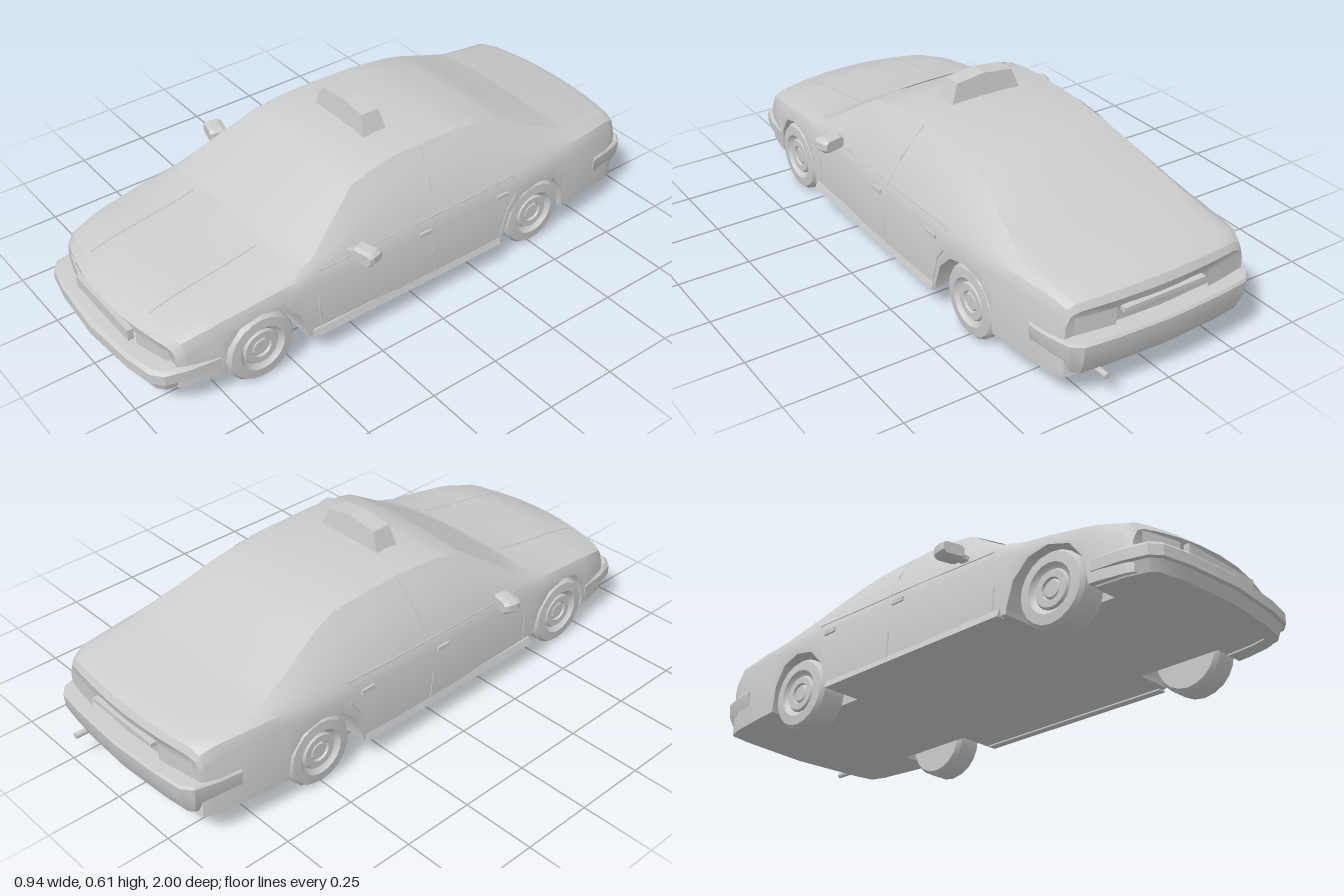
import * as THREE from 'three';
import { toCreasedNormals } from 'three/addons/utils/BufferGeometryUtils.js';

const grey = new THREE.MeshStandardMaterial({ color: 0xcccccc, side: THREE.DoubleSide });

// Body stations: z, half width, shoulder y, roof edge x, roof edge y, centre y
const STATIONS = [
  [0.95, 0.335, 0.222, 0.3, 0.232, 0.245], [0.92, 0.345, 0.25, 0.305, 0.26, 0.27],
  [0.8, 0.362, 0.272, 0.305, 0.285, 0.298], [0.6, 0.378, 0.3, 0.32, 0.31, 0.328],
  [0.47, 0.384, 0.315, 0.35, 0.332, 0.352], [0.41, 0.386, 0.318, 0.347, 0.35, 0.386],
  [0.2, 0.39, 0.322, 0.268, 0.49, 0.506], [0.1, 0.393, 0.324, 0.26, 0.51, 0.527],
  [0, 0.393, 0.325, 0.255, 0.518, 0.535], [-0.2, 0.393, 0.327, 0.252, 0.515, 0.53],
  [-0.34, 0.392, 0.33, 0.25, 0.5, 0.513], [-0.43, 0.39, 0.333, 0.262, 0.472, 0.49],
  [-0.55, 0.385, 0.335, 0.29, 0.418, 0.434], [-0.7, 0.372, 0.335, 0.32, 0.357, 0.368],
  [-0.9, 0.35, 0.33, 0.305, 0.342, 0.352], [-0.945, 0.335, 0.31, 0.29, 0.322, 0.33],
  [-0.957, 0.33, 0.29, 0.285, 0.3, 0.305],
];
const FLOOR = 0.09;
const WHEELS = [[0.615, 1], [-0.505, -1]]; // z, direction of the longer arch side
const ARCH = [[-0.16, 0.09], [-0.158, 0.11], [-0.13, 0.19], [-0.075, 0.245], [0, 0.262],
  [0.075, 0.24], [0.12, 0.18], [0.132, 0.11], [0.134, 0.09]];

// Piecewise linear lookup in rows whose first column falls or rises
function lookup(rows, t) {
  for (let i = 0; i < rows.length - 1; i++) {
    const a = rows[i], b = rows[i + 1], f = (t - a[0]) / (b[0] - a[0]);
    if (f >= 0 && f <= 1) return a.map((v, k) => v + (b[k] - v) * f);
  }
  return null;
}
function archY(z) {
  for (const [c, s] of WHEELS) {
    const hit = lookup(ARCH, (z - c) * s);
    if (hit) return hit[1];
  }
  return FLOOR;
}
// Half width of the body side at a given height
function sideX(z, y) {
  const [, w, ys, xr, yr] = lookup(STATIONS, z);
  if (y <= ys - 0.035) return w;
  if (y <= ys) return w - 0.015 * (y - ys + 0.035) / 0.035;
  const t = Math.min(1, (y - ys) / (yr - ys));
  return w - 0.015 + (xr - w + 0.015) * t + 0.25 * (yr - ys) * t * (1 - t);
}
function topY(z, x) {
  const [, , , xr, yr, yc] = lookup(STATIONS, z);
  return yc - (yc - yr) * Math.pow(Math.abs(x) / xr, 2.5);
}
// Rounds the nose and tail in plan
function bow(x, z) {
  const k = z > 0 ? 0.55 * Math.max(0, (z - 0.76) / 0.19) : -0.3 * Math.max(0, (-z - 0.72) / 0.23);
  return z - k * x * x;
}

// Skin over a row of closed rings, capped at both ends
function loft(rings, crease) {
  const n = rings[0].length, pos = rings.flat(2), idx = [];
  for (let i = 0; i < rings.length - 1; i++) for (let j = 0; j < n; j++) {
    const a = i * n + j, b = i * n + (j + 1) % n;
    idx.push(a, a + n, b, b, a + n, b + n);
  }
  [0, rings.length - 1].forEach((r, end) => {
    const c = pos.length / 3;
    for (let k = 0; k < 3; k++) pos.push(rings[r].reduce((s, p) => s + p[k], 0) / n);
    for (let j = 0; j < n; j++) {
      const a = r * n + j, b = r * n + (j + 1) % n;
      idx.push(c, end ? b : a, end ? a : b);
    }
  });
  const g = new THREE.BufferGeometry();
  g.setAttribute('position', new THREE.Float32BufferAttribute(pos, 3));
  g.setIndex(idx);
  return toCreasedNormals(g, crease);
}
// Thin panel from a rule (u, v in 0..1)
function patch(rule, nu, nv) {
  const g = new THREE.PlaneGeometry(1, 1, nu, nv), p = g.attributes.position;
  for (let i = 0; i < p.count; i++) p.setXYZ(i, ...rule(p.getX(i) + 0.5, p.getY(i) + 0.5));
  g.computeVertexNormals();
  return g;
}

function bodyGeometry() {
  const zs = STATIONS.map(s => s[0]);
  for (const [c, s] of WHEELS) ARCH.forEach(a => zs.push(c + s * a[0]));
  zs.sort((a, b) => b - a);
  return loft(zs.map(z => {
    const [, w, ys, xr, yr] = lookup(STATIONS, z), yb = archY(z);
    const half = [[0.25, FLOOR], [0.25, yb], [w, yb], [w, Math.max(yb, ys - 0.035)]];
    for (const t of [0, 0.33, 0.67, 1]) {
      const y = ys + (yr - ys) * t;
      half.push([sideX(z, y), y]);
    }
    for (const f of [0.85, 0.6, 0.3]) half.push([xr * f, topY(z, xr * f)]);
    const ring = [[0, FLOOR], ...half, [0, topY(z, 0)], ...half.map(([x, y]) => [-x, y]).reverse()];
    return ring.map(([x, y]) => [x, y, bow(x, z)]);
  }), 0.5);
}

// Bumper: a section swept around a mirrored plan path
function bumperGeometry(halfPath, section) {
  const path = [...halfPath, ...halfPath.slice(0, -1).map(([x, z]) => [-x, z]).reverse()];
  return loft(path.map(([x, z], i) => {
    const a = path[Math.max(0, i - 1)], b = path[Math.min(path.length - 1, i + 1)];
    const tx = b[0] - a[0], tz = b[1] - a[1], l = Math.hypot(tx, tz);
    return section.map(([o, y]) => [x + o * tz / l, y, z - o * tx / l]);
  }), 0.5);
}

export function createModel() {
  const car = new THREE.Group();
  car.name = 'taxi';
  const add = (name, geo, x = 0, y = 0, z = 0) => {
    const m = new THREE.Mesh(geo, grey);
    m.name = name;
    m.position.set(x, y, z);
    car.add(m);
    return m;
  };
  add('body', bodyGeometry());

  // Bumpers
  add('frontBumper', bumperGeometry(
    [[0.368, 0.76], [0.357, 0.86], [0.335, 0.935], [0.3, 0.965], [0.2, 0.985], [0, 1]],
    [[-0.07, 0.176], [-0.012, 0.172], [0, 0.16], [0, 0.125], [-0.012, 0.122], [-0.025, 0.085], [-0.07, 0.085]]));
  add('rearBumper', bumperGeometry(
    [[0.365, 0.8], [0.354, 0.88], [0.335, 0.95], [0.3, 0.978], [0.2, 0.99], [0, 1]],
    [[-0.06, 0.222], [-0.006, 0.22], [0, 0.212], [-0.004, 0.165], [-0.03, 0.105], [-0.06, 0.09]])).rotation.y = Math.PI;

  // Windscreen and rear window
  const glass = (name, z0, z1, curve) => add(name, patch((u, v) => {
    const s = 2 * u - 1, z = z0 + (z1 - z0) * v - curve * s * s * (1 - v);
    const x = s * 0.93 * lookup(STATIONS, z)[3];
    return [x, topY(z, x) + 0.003, z];
  }, 12, 8));
  glass('windscreen', 0.465, 0.2, 0.03);
  glass('rearWindow', -0.67, -0.42, -0.03);

  // Wheel profile: tyre, rim and hub
  const wheel = toCreasedNormals(new THREE.LatheGeometry(
    [[0, 0], [0.112, 0], [0.122, 0.015], [0.122, 0.088], [0.112, 0.102], [0.08, 0.105], [0.074, 0.096],
      [0.064, 0.09], [0.058, 0.098], [0.036, 0.098], [0.032, 0.09], [0.026, 0.096], [0, 0.096]]
      .map(p => new THREE.Vector2(...p)), 20), 0.5).rotateZ(-Math.PI / 2);

  // Mirror housing
  const oct = new THREE.Shape([[-0.038, -0.013], [-0.028, -0.02], [0.025, -0.02], [0.035, -0.01],
    [0.035, 0.01], [0.025, 0.018], [-0.028, 0.018], [-0.038, 0.01]].map(p => new THREE.Vector2(...p)));
  const mirrorGeo = new THREE.ExtrudeGeometry(oct,
    { depth: 0.03, bevelThickness: 0.015, bevelSize: 0.006, bevelSegments: 1 });

  for (const s of [1, -1]) {
    const side = s > 0 ? 'left' : 'right';
    WHEELS.forEach(([z], i) => {
      add(side + (i ? 'RearWheel' : 'FrontWheel'), wheel, s * 0.27, 0.123, z).rotation.y = s > 0 ? 0 : Math.PI;
    });

    // Side windows between belt line and roof rail
    const sideWindow = (name, top, low) => add(side + name, patch((u, v) => {
      const za = low[0] + (low[1] - low[0]) * u, zb = top[0] + (top[1] - top[0]) * u;
      const z = za + (zb - za) * v;
      const [, , ys, , yr] = lookup(STATIONS, z);
      const y = ys + 0.008 + (yr - ys - 0.02) * v;
      return [s * (sideX(z, y) + 0.004), y, z];
    }, 8, 6));
    sideWindow('FrontWindow', [0.19, -0.065], [0.37, -0.035]);
    sideWindow('RearWindow', [-0.095, -0.3], [-0.065, -0.385]);

    // Door seams and pillar trim
    const seam = (name, pts) => {
      const curve = new THREE.CurvePath();
      const v = pts.map(([z, y]) => new THREE.Vector3(s * sideX(z, y), y, z));
      for (let i = 0; i < v.length - 1; i++) curve.add(new THREE.LineCurve3(v[i], v[i + 1]));
      add(side + name, new THREE.TubeGeometry(curve, pts.length * 6, 0.003, 5));
    };
    seam('FrontDoorSeam', [[0.405, 0.1], [0.41, 0.2], [0.405, 0.3]]);
    seam('CentrePillarSeam', [[-0.05, 0.1], [-0.04, 0.2], [-0.05, 0.32], [-0.065, 0.42], [-0.08, 0.51]]);
    seam('RearDoorSeam', [[-0.335, 0.12], [-0.36, 0.21], [-0.395, 0.26], [-0.39, 0.325]]);
    seam('BeltTrim', [[0.4, 0.318], [0.2, 0.322], [0, 0.325], [-0.2, 0.327], [-0.4, 0.332]]);
    for (const z of [0.0, -0.33]) add(side + 'DoorHandle', new THREE.BoxGeometry(0.012, 0.014, 0.05), s * 0.393, 0.285, z);

    // Flared sill between the wheels
    const sill = new THREE.Shape([[0.37, 0.085], [0.4, 0.085], [0.392, 0.11], [0.37, 0.11]].map(p => new THREE.Vector2(s * p[0], p[1])));
    add(side + 'Sill', new THREE.ExtrudeGeometry(sill, { depth: 0.77, bevelEnabled: false }), 0, 0, -0.335);

    // Bonnet crease
    const crease = [0.5, 0.6, 0.7, 0.8, 0.9].map(z => new THREE.Vector3(s * 0.18, topY(z, 0.18), bow(0.18, z)));
    add(side + 'BonnetSeam', new THREE.TubeGeometry(new THREE.CatmullRomCurve3(crease), 12, 0.002, 5));

    // Lights set in the nose and tail
    const lamp = (name, x0, x1, y0, y1, z) => add(side + name, patch((u, v) => {
      const x = s * (x0 + (x1 - x0) * u);
      return [x, y0 + (y1 - y0) * v, bow(x, z) + Math.sign(z) * 0.004];
    }, 6, 1));
    lamp('Headlight', 0.18, 0.31, 0.182, 0.224, 0.95);
    lamp('TailLight', 0.17, 0.305, 0.228, 0.285, -0.957);

    const mirror = add(side + 'Mirror', mirrorGeo, s * 0.422, 0.35, 0.245);
    mirror.scale.x = s;
    mirror.rotation.y = s * 0.25;
    add(side + 'MirrorArm', new THREE.BoxGeometry(0.04, 0.016, 0.03), s * 0.376, 0.338, 0.275);
  }

  // Grille and boot handle strip
  add('grille', new THREE.BoxGeometry(0.32, 0.04, 0.02), 0, 0.204, 0.942);
  add('bootStrip', new THREE.BoxGeometry(0.3, 0.014, 0.02), 0, 0.27, -0.952);

  // Roof sign, narrowing upwards
  const sign = new THREE.ExtrudeGeometry(new THREE.Shape([[-0.132, 0.525], [0.132, 0.525], [0.105, 0.595],
    [0, 0.607], [-0.105, 0.595]].map(p => new THREE.Vector2(...p))), { depth: 0.09, bevelEnabled: false });
  const p = sign.attributes.position;
  for (let i = 0; i < p.count; i++) p.setZ(i, (p.getZ(i) - 0.045) * (1 - 3.5 * (p.getY(i) - 0.525)));
  sign.computeVertexNormals();
  add('roofSign', sign);

  // Exhaust pipe
  add('exhaustPipe', new THREE.CylinderGeometry(0.01, 0.01, 0.15, 10).rotateX(Math.PI / 2), 0.23, 0.098, -0.92);
  return car;
}
